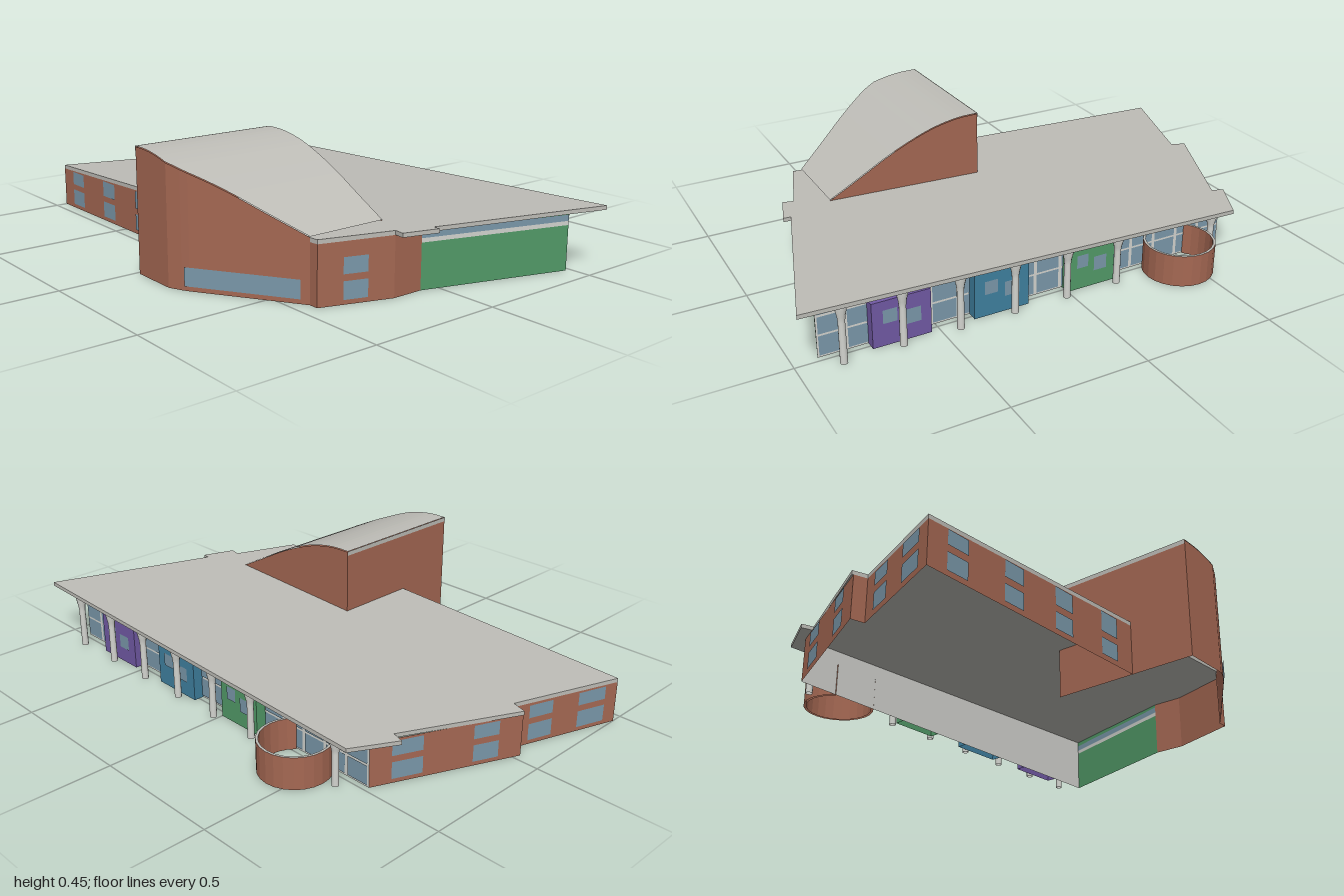
import * as THREE from 'three';
import { mergeGeometries } from 'three/addons/utils/BufferGeometryUtils.js';

const mat = (name, color) => {
  const m = new THREE.MeshStandardMaterial({ color, side: THREE.DoubleSide });
  m.name = name;
  return m;
};

// Roof plane rises gently towards +x
const SLAB = 0.015;
const roofTop = (x) => 0.204 + 0.033 * x;
const underRoof = (x) => roofTop(x) - SLAB;

// Flat-shaded quads between two matching rows of [x, y, z] points
function strip(lower, upper) {
  const v = [];
  for (let i = 0; i + 1 < lower.length; i++) {
    const [a, b, c, d] = [lower[i], lower[i + 1], upper[i + 1], upper[i]];
    v.push(...a, ...b, ...c, ...a, ...c, ...d);
  }
  const g = new THREE.BufferGeometry();
  g.setAttribute('position', new THREE.Float32BufferAttribute(v, 3));
  g.computeVertexNormals();
  return g;
}

// Upright wall along plan points [x, z], listed left to right as seen from outside
function wall(points, y0 = 0, y1 = underRoof) {
  const top = typeof y1 === 'function' ? y1 : () => y1;
  return strip(points.map(([x, z]) => [x, y0, z]), points.map(([x, z]) => [x, top(x), z]));
}

// Thin plate covering the span s..t of a wall from p to q, set just outside it
function plate(p, q, s, t, y0, y1, out = 0.003) {
  const dx = q[0] - p[0], dz = q[1] - p[1], len = Math.hypot(dx, dz);
  const at = (k) => [p[0] + dx * k - dz / len * out, p[1] + dz * k + dx / len * out];
  return wall([at(s), at(t)], y0, y1);
}

export function createModel() {
  const brick = mat('brick', 0xa56853);
  const roofGrey = mat('roof grey', 0xbebdb7);
  const glass = mat('glass', 0x7a98aa);
  const green = mat('green', 0x529a68);
  const purple = mat('purple', 0x7159a4);
  const blue = mat('blue', 0x3f809f);
  const white = mat('white', 0xd3d4cf);

  const model = new THREE.Group();
  const add = (name, geometry, material, parent = model) => {
    const m = new THREE.Mesh(geometry, material);
    m.name = name;
    parent.add(m);
    return m;
  };

  // Sloping roof slab
  const outline = [
    [-0.68, -0.575], [1, -0.575], [0.797, 0.065], [0.825, 0.065], [0.785, 0.192], [0.745, 0.185],
    [0.66, 0.44], [0.62, 0.44], [0.6, 0.455], [-1, 0.455], [-0.86, 0.04], [-0.915, 0.025],
    [-0.72, -0.4], [-0.765, -0.412],
  ];
  const slab = new THREE.ExtrudeGeometry(
    new THREE.Shape(outline.map(([x, z]) => new THREE.Vector2(x, -z))), { depth: SLAB, bevelEnabled: false });
  slab.rotateX(-Math.PI / 2);
  const sp = slab.attributes.position;
  for (let i = 0; i < sp.count; i++) sp.setY(i, sp.getY(i) + underRoof(sp.getX(i)));
  slab.computeVertexNormals();
  add('roof', slab, roofGrey);

  // Brick outer walls
  const backLeft = [-0.69, -0.48], stepOut = [-0.91, 0.028], stepIn = [-0.86, 0.04], frontCorner = [-1, 0.455];
  const towerFoot = [0.015, 0.455], rightFront = [0.66, 0.44], rightMid = [0.745, 0.185];
  const greenStart = [0.745, 0.065], greenEnd = [0.915, -0.48];
  add('leftAndFrontWall', wall([backLeft, stepOut, stepIn, frontCorner, towerFoot]), brick);
  add('rightWall', wall([[0.62, 0.44], rightFront, rightMid, greenStart]), brick);

  // Curved-roof hall
  const profile = new THREE.SplineCurve([
    [0.015, 0.45], [0.1, 0.447], [0.2, 0.427], [0.3, 0.391], [0.4, 0.345], [0.5, 0.291], [0.625, 0.225],
  ].map((p) => new THREE.Vector2(...p)));
  const arc = profile.getPoints(24);
  const hallFront = (x) => (x < 0.2 ? 0.7 : x < 0.26 ? 0.7 - (x - 0.2) * 0.42 : 0.675 - (x - 0.26) * 0.644);
  const row = (y, z) => arc.map((p) => [p.x, y(p), z(p)]);
  const front = (p) => hallFront(p.x), back = () => 0.13, crest = (p) => p.y;
  const hall = new THREE.Group();
  hall.name = 'hall';
  model.add(hall);
  add('hallFrontWall', strip(row(() => 0, front), row(crest, front)), brick, hall);
  add('hallBackWall', strip(row((p) => Math.min(underRoof(p.x), p.y), back).reverse(), row(crest, back).reverse()), brick, hall);
  add('hallSideWall', wall([[0.015, 0.13], [0.015, 0.7]], 0, 0.45), brick, hall);
  const lift = (p) => p.y + 0.003;
  add('hallRoof', strip(row(lift, front), row(lift, back)), roofGrey, hall);
  add('hallRoofEdge', strip([[0.013, 0.436, 0.13], [0.013, 0.436, 0.7]], [[0.013, 0.453, 0.13], [0.013, 0.453, 0.7]]), roofGrey, hall);

  // Brick wall windows in two rows
  const panes = [];
  const twoRows = (p, q, s, t, high) => {
    panes.push(plate(p, q, s, t, 0.017, 0.08), plate(p, q, s, t, 0.103, high));
  };
  for (const x of [-0.92, -0.665, -0.415, -0.165]) {
    twoRows(frontCorner, towerFoot, (x + 1) / 1.015, (x + 1.09) / 1.015, underRoof(x) - 0.003);
  }
  twoRows(stepIn, frontCorner, 0.15, 0.37, 0.152);
  twoRows(stepIn, frontCorner, 0.62, 0.88, 0.152);
  twoRows(backLeft, stepOut, 0.14, 0.34, 0.157);
  twoRows(backLeft, stepOut, 0.67, 0.84, 0.154);
  twoRows(rightFront, rightMid, 0.33, 0.65, 0.16);
  panes.push(plate([0.26, 0.675], [0.625, 0.44], 0, 0.93, 0.017, 0.083));
  add('brickWallWindows', mergeGeometries(panes), glass);

  // Green side wall with a glazed band above it
  const side = [greenStart, greenEnd];
  add('greenWall', wall(side, 0, 0.165), green);
  add('sideSill', wall(side, 0.165, 0.18), white);
  add('sideGlazing', wall(side, 0.18, 0.202), glass);
  add('greenFascia', wall(side, 0.202), green);

  // Glazed rear facade: pale frame with glass panes
  add('rearFrame', wall([greenEnd, backLeft]), white);
  const rear = [];
  const bays = 16;
  for (let i = 0; i < bays; i++) {
    const s = (i + 0.06) / bays, t = (i + 0.94) / bays;
    const top = underRoof(0.915 - 1.605 * t) - 0.004;
    for (const [y0, y1] of [[0.008, 0.08], [0.087, 0.15], [0.158, top]]) {
      rear.push(plate(greenEnd, backLeft, s, t, y0, y1));
    }
  }
  add('rearGlazing', mergeGeometries(rear), glass);

  // Coloured bays, open underneath
  const bayList = [['purpleBay', purple, 0.74, 0.53], ['blueBay', blue, 0.37, 0.16], ['greenBay', green, 0.0, -0.19]];
  for (const [name, material, x0, x1] of bayList) {
    const g = new THREE.Group();
    g.name = name;
    model.add(g);
    const h = 0.168, a = [x0, -0.52], b = [x1, -0.52];
    add('bayWalls', wall([[x0, -0.48], a, b, [x1, -0.48]], 0, h), material, g);
    add('bayTop', strip([[x0, h, -0.48], [x1, h, -0.48]], [[x0, h, -0.52], [x1, h, -0.52]]), material, g);
    add('bayWindows', mergeGeometries([
      plate(a, b, 0.18, 0.42, 0.085, 0.135), plate(a, b, 0.55, 0.82, 0.06, 0.115),
    ]), glass, g);
  }

  // Columns with flared heads; the bay at the drum has none
  for (let i = 0; i < 8; i++) {
    if (i === 6) continue;
    const x = 0.85 - 0.2075 * i, h = underRoof(x);
    const shape = [[0.013, 0], [0.012, h * 0.7], [0.014, h * 0.8], [0.02, h * 0.93], [0.02, h]];
    const c = add('column', new THREE.LatheGeometry(shape.map((p) => new THREE.Vector2(...p)), 12), white);
    c.position.set(x, 0, -0.545);
  }

  // Low round brick drum, open towards the facade
  const ring = (r, y) => Array.from({ length: 19 }, (_, i) => {
    const t = THREE.MathUtils.degToRad(-45 + i * 15);
    return [-0.44 + r * Math.cos(t), y, -0.57 - r * Math.sin(t)];
  });
  const R = 0.13, r = 0.121, H = 0.12;
  add('drumWall', mergeGeometries([
    strip(ring(R, 0), ring(R, H)), strip(ring(r, H), ring(r, 0)),
  ]), brick);
  add('drumCap', strip(ring(R, H), ring(r, H)), roofGrey);

  return model;
}
